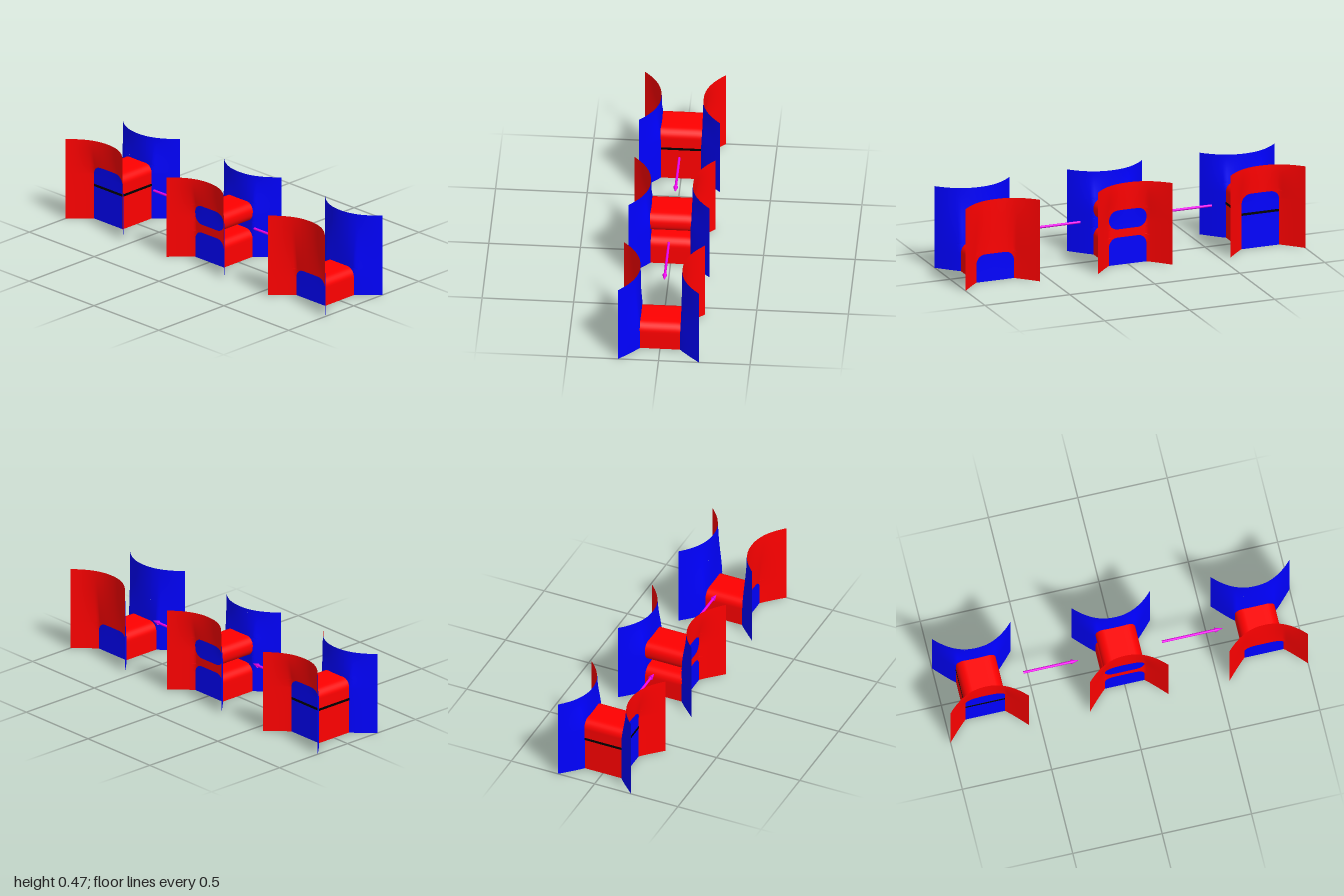
import * as THREE from 'three';

const RED = 0xff0000, BLUE = 0x0000ff, MAGENTA = 0xee00ee, BLACK = 0x000000;
const HALF = 0.22, WALL = 0.11, HEIGHT = 0.467, BEND = 0.05, FLAT = WALL - BEND;
const SKIN = 0.0008; // half thickness of the films
const lerp = THREE.MathUtils.lerp;
const material = (color) => new THREE.MeshStandardMaterial({ color });

// Grid surface pushed out along its normals; point(row, v) gives a position
function grid(rows, cols, point, flip) {
  const pos = [], index = [];
  for (let i = 0; i < rows; i++)
    for (let j = 0; j <= cols; j++) pos.push(...point(i, j / cols));
  for (let i = 0; i < rows - 1; i++)
    for (let j = 0; j < cols; j++) {
      const a = i * (cols + 1) + j, b = a + 1, c = a + cols + 1, d = c + 1;
      if (flip) index.push(a, c, b, b, c, d);
      else index.push(a, b, c, b, d, c);
    }
  const geo = new THREE.BufferGeometry();
  geo.setAttribute('position', new THREE.Float32BufferAttribute(pos, 3));
  geo.setIndex(index);
  geo.computeVertexNormals();
  const p = geo.attributes.position, n = geo.attributes.normal;
  for (let i = 0; i < p.count; i++)
    p.setXYZ(i, p.getX(i) + SKIN * n.getX(i), Math.max(0, p.getY(i) + SKIN * n.getY(i)), p.getZ(i) + SKIN * n.getZ(i));
  return geo;
}

// Thin film with one colour on each face
function film(name, rows, cols, point, flip, outer, inner) {
  const g = new THREE.Group();
  g.name = name;
  const front = new THREE.Mesh(grid(rows, cols, point, flip), material(outer));
  const back = new THREE.Mesh(grid(rows, cols, point, !flip), material(inner));
  front.name = name + 'Outer';
  back.name = name + 'Inner';
  g.add(front, back);
  return g;
}

// Opening outline as [height, half width] pairs; the base is open at y = 0
function opening(bottom, top) {
  const rows = [], n = 8;
  const arc = (i) => (i / n) * Math.PI / 2;
  if (bottom > 0)
    for (let i = 0; i <= n; i++)
      rows.push([bottom + BEND * (1 - Math.cos(arc(i))), FLAT + BEND * Math.sin(arc(i))]);
  else
    for (let i = 0; i < 4; i++) rows.push([(top - BEND) * i / 4, WALL]);
  for (let i = 0; i <= n; i++)
    rows.push([top - BEND * (1 - Math.sin(arc(i))), FLAT + BEND * Math.cos(arc(i))]);
  return rows;
}

function createStage(name, x, openings) {
  const stage = new THREE.Group();
  stage.name = name;
  stage.position.x = x;

  const outlines = openings.map(([b, t]) => opening(b, t));
  const top = openings[openings.length - 1][1];

  // Sheet depth: flat with flared sides at the base, a smooth arc at the top
  const depth = (px, y) => {
    const flare = Math.max(0, Math.abs(px) - WALL) / (HALF - WALL);
    const base = WALL + 0.111 * Math.pow(flare, 1.08);
    const arc = 0.115 + 0.106 * Math.pow(Math.abs(px) / HALF, 2.2);
    return lerp(base, arc, THREE.MathUtils.smoothstep(y, top - 0.08, HEIGHT));
  };

  // Solid stretches of sheet above each opening
  const solids = openings.map(([, from], k) => {
    const to = k + 1 < openings.length ? openings[k + 1][0] : HEIGHT;
    return Array.from({ length: 11 }, (_, i) => [lerp(from, to, i / 10), FLAT]);
  });
  const last = solids.length - 1;
  const sideRows = outlines.flatMap((o, k) => [...o, ...solids[k].slice(1, k < last ? -1 : undefined)]);

  // Strip spanning the full width of its rows on one sheet
  const strip = (part, rows, sz, outer, inner) =>
    film(part, rows.length, 8, (i, v) => {
      const [y, w] = rows[i];
      const px = lerp(-w, w, v);
      return [px, y, sz * depth(px, y)];
    }, sz < 0, outer, inner);

  for (const sz of [1, -1]) {
    const sheet = sz > 0 ? 'frontSheet' : 'backSheet';
    for (const s of [1, -1])
      stage.add(film(sheet + 'Side', sideRows.length, 16, (i, v) => {
        const [y, w] = sideRows[i];
        const px = s * lerp(w, HALF, v);
        return [px, y, sz * depth(px, y)];
      }, s * sz < 0, RED, BLUE));
    for (const rows of solids) stage.add(strip(sheet + 'Middle', rows, sz, RED, BLUE));
    for (const rows of outlines) stage.add(strip('doorFilm', rows, sz, BLUE, RED));
  }

  // Tunnel walls joining the front and back sheets, closed along the middle
  outlines.forEach((o, k) => {
    const [bottom, roof] = openings[k];
    const rows = [...(bottom > 0 ? [[bottom, 0]] : []), ...o, [roof, 0]];
    for (const s of [1, -1])
      stage.add(film('tunnelWall', rows.length, 8, (i, v) => {
        const [y, w] = rows[i];
        return [s * w, y, lerp(1, -1, v) * depth(w, y)];
      }, s < 0, RED, BLUE));
  });
  return stage;
}

// Dark band around the single tall tunnel
function createBand() {
  const band = new THREE.Group();
  band.name = 'darkBand';
  const t = 0.013;
  for (const s of [1, -1]) {
    const across = new THREE.Mesh(new THREE.BoxGeometry(2 * WALL, t, t / 2), material(BLACK));
    across.position.set(0, 0.198, s * WALL);
    const along = new THREE.Mesh(new THREE.BoxGeometry(t / 2, t, 2 * WALL), material(BLACK));
    along.position.set(s * WALL, 0.198, 0);
    band.add(across, along);
  }
  return band;
}

// Arrow pointing along +x
function createArrow(from, to) {
  const arrow = new THREE.Group();
  arrow.name = 'arrow';
  const head = 0.045, len = to - from - head;
  const shaft = new THREE.Mesh(new THREE.CylinderGeometry(0.007, 0.007, len, 16), material(MAGENTA));
  shaft.name = 'arrowShaft';
  shaft.position.y = len / 2;
  const tip = new THREE.Mesh(new THREE.ConeGeometry(0.013, head, 16), material(MAGENTA));
  tip.name = 'arrowHead';
  tip.position.y = len + head / 2;
  arrow.add(shaft, tip);
  arrow.rotation.z = -Math.PI / 2;
  arrow.position.set(from, 0.233, 0);
  return arrow;
}

export function createModel() {
  const model = new THREE.Group();
  model.name = 'filmTransition';
  const first = createStage('tallTunnelStage', -0.78, [[0, 0.312]]);
  first.add(createBand());
  model.add(
    first,
    createStage('splitTunnelStage', 0, [[0, 0.156], [0.203, 0.312]]),
    createStage('lowTunnelStage', 0.78, [[0, 0.156]]),
    createArrow(-0.54, -0.23),
    createArrow(0.235, 0.575)
  );
  return model;
}
